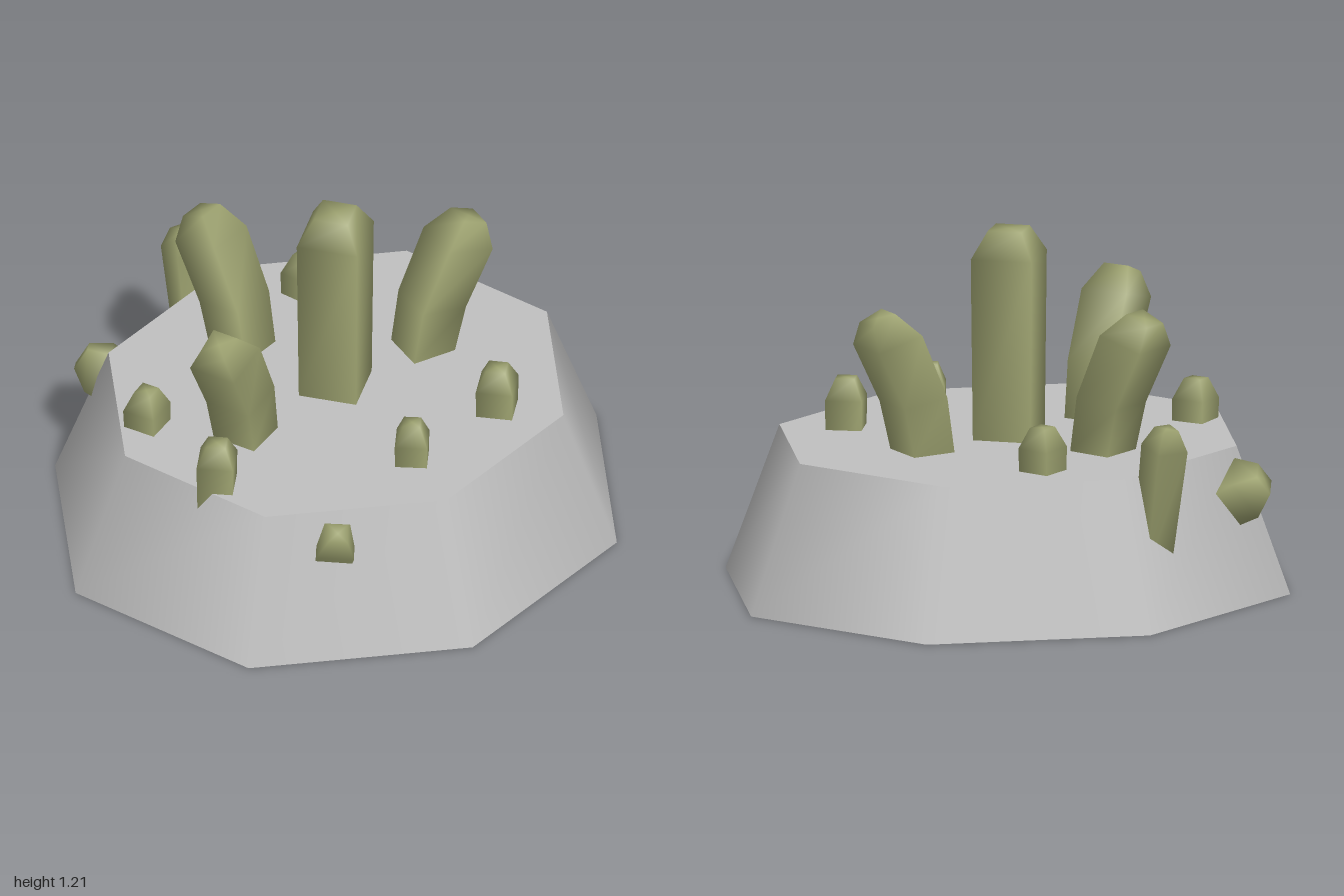
import * as THREE from 'three';

const stone = new THREE.MeshStandardMaterial({ color: 0xc0c0c0 });
stone.name = 'greyStone';
const olive = new THREE.MeshStandardMaterial({ color: 0x9da270 });
olive.name = 'oliveCrystal';

// Four-sided smooth shaft through rings [u, y, cornerRadius, tilt], bottom to top
function shaft(rings, turn = 0) {
  const pos = [], index = [];
  for (const [u, y, r, tilt = 0] of rings) {
    for (let k = 0; k < 4; k++) {
      const a = k * Math.PI / 2 + turn, dx = r * Math.sin(a);
      pos.push(u + dx * Math.cos(tilt), y + dx * Math.sin(tilt), r * Math.cos(a));
    }
  }
  for (let i = 0; i < rings.length - 1; i++) {
    for (let k = 0; k < 4; k++) {
      const a = i * 4 + k, b = i * 4 + (k + 1) % 4;
      index.push(a, b, b + 4, a, b + 4, a + 4);
    }
  }
  // End caps
  const top = (rings.length - 1) * 4, end = rings.length * 4;
  pos.push(rings[0][0], rings[0][1], 0);
  pos.push(rings.at(-1)[0], rings.at(-1)[1], 0);
  for (let k = 0; k < 4; k++) {
    const n = (k + 1) % 4;
    index.push(end, n, k, end + 1, top + k, top + n);
  }
  const g = new THREE.BufferGeometry();
  g.setAttribute('position', new THREE.Float32BufferAttribute(pos, 3));
  g.setIndex(index);
  g.computeVertexNormals();
  return g;
}

export function createModel() {
  const model = new THREE.Group();
  const add = (name, geometry, material) => {
    const mesh = new THREE.Mesh(geometry, material);
    mesh.name = name;
    model.add(mesh);
    return mesh;
  };

  // Tapered octagonal base
  const base = new THREE.CylinderGeometry(0.81, 1, 0.5, 8);
  base.scale(1, 1, 0.92).translate(0, 0.25, 0);
  add('base', base, stone);

  // Tall upright crystal in the middle
  add('centreCrystal', shaft([[0, -0.002, 0.13], [0, 0.5, 0.14], [0, 1.12, 0.148], [0, 1.21, 0.082]]), olive)
    .position.z = -0.005;

  // Three bent crystals leaning outward: start of footprint and lean direction
  const q = Math.SQRT2;
  const bent = shaft([
    [0.065, 0.3, 0.075 * q], [0.08, 0.5, 0.078 * q], [0.115, 0.68, 0.083 * q, -0.15],
    [0.215, 0.895, 0.086 * q, -0.25], [0.255, 0.975, 0.046 * q, -0.4],
  ], Math.PI / 4);
  for (const [name, x, z, dx, dz] of [
    ['leftBentCrystal', 0.28, -0.045, 1, 0],
    ['rightBentCrystal', -0.325, 0.045, -0.87, 0.49],
    ['backBentCrystal', -0.13, -0.275, -0.37, -0.93],
  ]) {
    const m = add(name, bent, olive);
    m.position.set(x, 0, z);
    m.rotation.y = Math.atan2(-dz, dx);
  }

  // Small crystals: tip position, length, corner radius, turn, axis
  const up = new THREE.Vector3(0, 1, 0);
  const small = [
    ['frontStub', 0.015, 0.65, 0.485, 0.652, 0.077, 0.2, [0, 1, 0]],
    ['frontLeftStub', 0.4, 0.67, 0.383, 0.6, 0.088, 0.1, [0, 1, 0]],
    ['backLeftStub', 0.17, 0.65, -0.505, 0.6, 0.082, -0.38, [0.03, 1, -0.03]],
    ['rightStub', -0.66, 0.64, -0.12, 0.6, 0.082, -0.25, [-0.04, 1, 0.02]],
    ['frontRightStub', -0.62, 0.67, 0.285, 0.6, 0.087, 0.15, [0, 1, 0]],
    ['backWallCrystal', -0.13, 0.67, -0.81, 0.5, 0.08, Math.PI / 4, [0, 1, -0.2]],
    ['cornerWallCrystal', -0.6, 0.41, -0.66, 0.3, 0.11, 0.4, [-0.6, 0.5, -0.65]],
    ['frontWallCrystal', -0.375, 0.45, 0.67, 0.3, 0.09, 0.3, [-0.15, 0.8, 0.5]],
  ];
  for (const [name, x, y, z, length, r, turn, axis] of small) {
    const g = shaft([[0, -length, r * 0.85], [0, -0.07, r], [0, 0, r * 0.52]], turn);
    const m = add(name, g, olive);
    m.position.set(x, y, z);
    m.quaternion.setFromUnitVectors(up, new THREE.Vector3(...axis).normalize());
  }

  return model;
}
